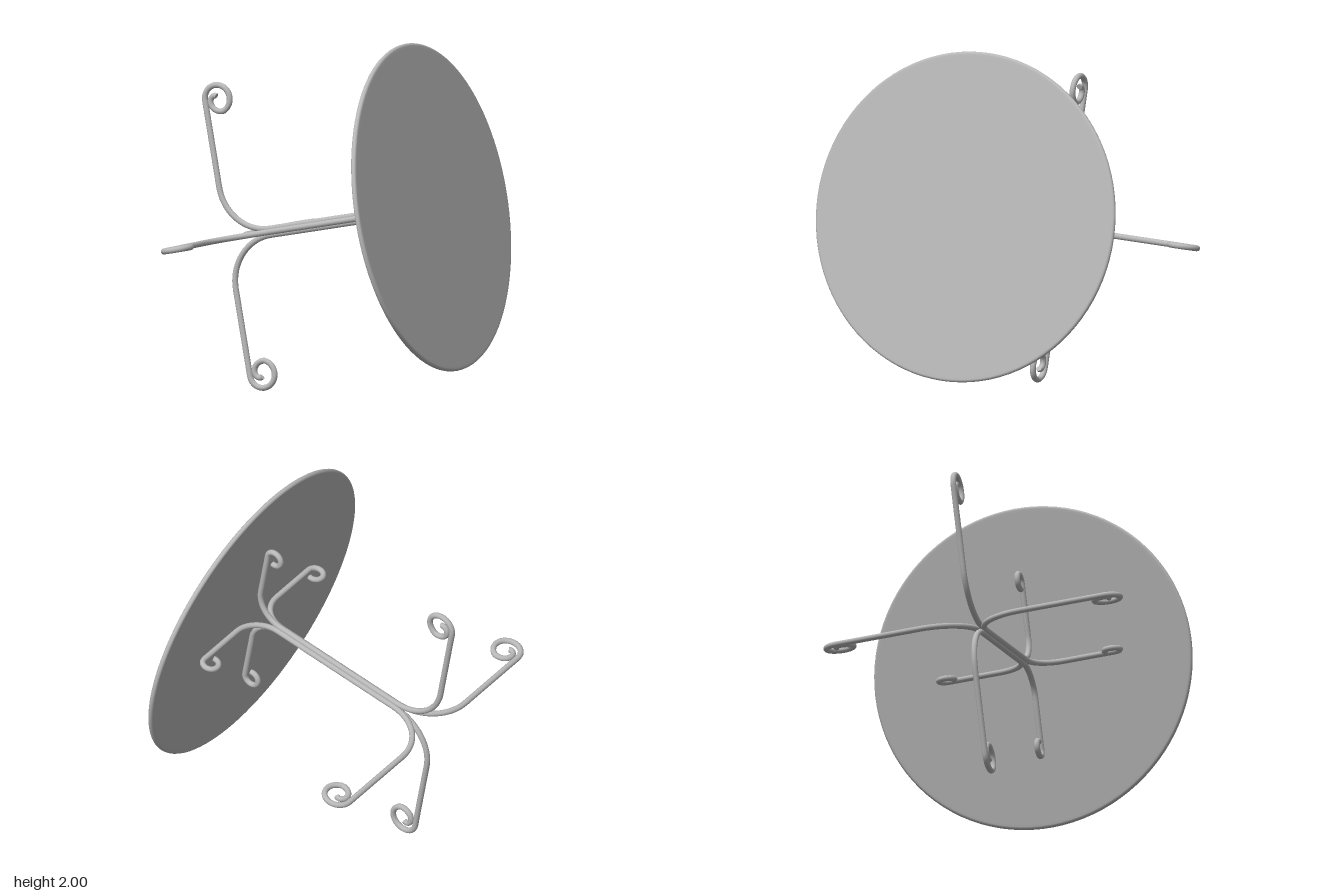
import * as THREE from 'three';

const ROD = 0.0165;   // rod radius
const GAP = 0.018;    // rod distance from the stem axis
const RIM = 0.92;     // table top radius
const HALF = 0.0145;  // half the table top thickness

// Points on an arc or spiral in the (radial, axial) plane; angles in degrees
function arc(cx, cy, from, to, steps, radius) {
  const pts = [];
  for (let i = 0; i <= steps; i++) {
    const deg = from + (to - from) * i / steps;
    const a = THREE.MathUtils.degToRad(deg);
    const r = typeof radius === 'function' ? radius(deg) : radius;
    pts.push(new THREE.Vector3(cx + r * Math.cos(a), cy + r * Math.sin(a), 0));
  }
  return pts;
}

function straight(x0, y0, x1, y1, steps) {
  const a = new THREE.Vector3(x0, y0, 0), b = new THREE.Vector3(x1, y1, 0);
  return Array.from({ length: steps - 1 }, (_, i) => a.clone().lerp(b, (i + 1) / steps));
}

// One continuous rod: foot scroll, leg, stem, bracket and bracket scroll
function rodCurve() {
  const footSpiral = deg => 0.077 - 0.062 * Math.max(0, (deg + 90 - 250) / 190);
  const pts = [
    ...arc(0.775, -1.208, 350, -90, 44, footSpiral),
    ...straight(0.775, -1.285, 0.288, -1.285, 8),
    ...arc(0.288, -1.015, -90, -180, 12, 0.27),
    ...straight(GAP, -1.015, GAP, -0.199, 12),
    ...arc(GAP + 0.165, -0.199, 180, 90, 10, 0.165),
    ...straight(GAP + 0.165, -0.034, 0.48, -0.034, 6),
    ...arc(0.48, -0.081, 90, -195, 24, deg => 0.047 - 0.005 * (90 - deg) / 285),
  ];
  const curve = new THREE.CatmullRomCurve3(pts);
  curve.arcLengthDivisions = 2000;
  return curve;
}

export function createModel() {
  const model = new THREE.Group();
  model.name = 'tippedTable';
  const metal = new THREE.MeshStandardMaterial({ color: 0xb8b8b8 });
  metal.name = 'grey metal';

  // Table top: round plate with a rounded rim
  const profile = [new THREE.Vector2(0, -HALF), new THREE.Vector2(RIM - 0.03, -HALF)];
  for (let i = 0; i <= 8; i++) {
    const a = -Math.PI / 2 + Math.PI * i / 8;
    profile.push(new THREE.Vector2(RIM - HALF + HALF * Math.cos(a), HALF * Math.sin(a)));
  }
  profile.push(new THREE.Vector2(RIM - 0.03, HALF), new THREE.Vector2(0, HALF));
  const top = new THREE.Mesh(new THREE.LatheGeometry(profile, 96), metal);
  top.name = 'tableTop';
  model.add(top);

  // Four scrolled rods, bundled into the stem
  const curve = rodCurve();
  const tube = new THREE.TubeGeometry(curve, 320, ROD, 12);
  const cap = new THREE.CircleGeometry(ROD, 12);
  for (let k = 0; k < 4; k++) {
    const leg = new THREE.Group();
    leg.name = 'scrolledLeg' + (k + 1);
    const rod = new THREE.Mesh(tube, metal);
    rod.name = 'rod';
    leg.add(rod);
    for (const t of [0, 1]) {
      const end = new THREE.Mesh(cap, metal);
      end.name = t ? 'bracketEnd' : 'footEnd';
      end.position.copy(curve.getPointAt(t));
      const out = curve.getTangentAt(t).multiplyScalar(t ? 1 : -1);
      end.quaternion.setFromUnitVectors(new THREE.Vector3(0, 0, 1), out);
      leg.add(end);
    }
    leg.rotation.y = k * Math.PI / 2;
    model.add(leg);
  }

  // Lay the table on its side: its own up direction points mostly along +x
  const up = new THREE.Vector3(0.977, 0.207, -0.035).normalize();
  const side = up.clone().cross(new THREE.Vector3(-0.207, 0.977, -0.05)).normalize();
  const back = side.clone().cross(up);
  const pose = new THREE.Matrix4().makeBasis(side, up, back).setPosition(0.615, 1.1, 0);
  model.applyMatrix4(pose);

  const root = new THREE.Group();
  root.name = 'table';
  root.add(model);
  return root;
}
